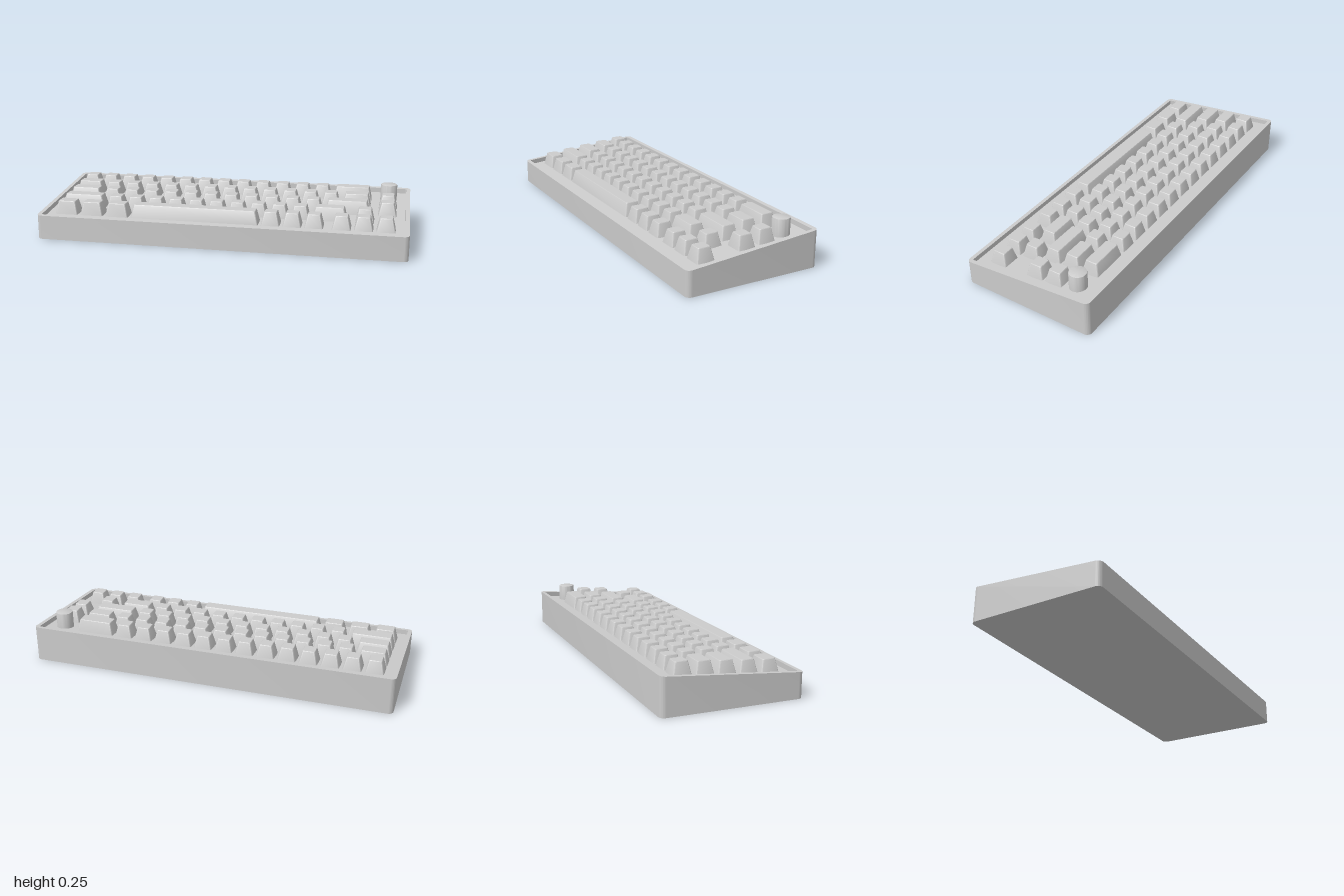
import * as THREE from 'three';
import { toCreasedNormals } from 'three/addons/utils/BufferGeometryUtils.js';

const UNIT = 0.1153;                 // width of a one-unit key with its gap
const ROW = 0.1149;                  // row spacing along z
const WELL = 0.026;                  // depth of the plate below the rim
const rimY = (z) => 0.165 - 0.0874 * z;

function roundedRect(w, d, r, Type = THREE.Shape) {
  const x = w / 2 - r, y = d / 2 - r, s = new Type();
  s.absarc(x, y, r, 0, Math.PI / 2);
  s.absarc(-x, y, r, Math.PI / 2, Math.PI);
  s.absarc(-x, -y, r, Math.PI, Math.PI * 1.5);
  s.absarc(x, -y, r, Math.PI * 1.5, Math.PI * 2);
  s.closePath();
  return s;
}

// Extrude upward by 1, then move every vertex by a rule.
function riseAndShape(shape, steps, curveSegments, rule) {
  const g = new THREE.ExtrudeGeometry(shape, { depth: 1, steps, curveSegments, bevelEnabled: false });
  g.rotateX(-Math.PI / 2);
  const p = g.attributes.position, v = new THREE.Vector3();
  for (let i = 0; i < p.count; i++) {
    rule(v.fromBufferAttribute(p, i));
    p.setXYZ(i, v.x, v.y, v.z);
  }
  g.computeVertexNormals();
  return toCreasedNormals(g, 0.5);
}

// Tapered keycap, with a small chamfer around its flat top; its top is at y = 0.
function keycapGeometry(units) {
  const shape = roundedRect(units * UNIT - 0.0165, 0.0985, 0.008);
  return riseAndShape(shape, 2, 3, (v) => {
    const level = Math.round(v.y * 2);
    const inset = [0, 0.0155, 0.0178][level];
    v.x -= Math.sign(v.x) * inset;
    v.z -= Math.sign(v.z) * inset;
    v.y = [-0.072, -0.003, 0][level];
  });
}

// Rows from back to front: key widths in units, negative values are gaps.
const ones = (n) => Array(n).fill(1);
const ROWS = [
  [...ones(13), 2],
  [1.5, ...ones(12), 1.5, -0.25, 1],
  [1.75, ...ones(11), 2.25, -0.25, 1],
  [2.25, ...ones(10), 1.75, -0.25, 1],
  [1.25, 1.25, 1.25, 6.25, 1, 1, 1, -0.25, 1, 1, 1],
];

export function createModel() {
  const model = new THREE.Group();
  model.name = 'keyboard';
  const material = new THREE.MeshStandardMaterial({ color: 0xcccccc });
  const add = (parent, geometry, name) => {
    const mesh = new THREE.Mesh(geometry, material);
    mesh.name = name;
    parent.add(mesh);
    return mesh;
  };

  // Wedge-shaped case wall and the sunken plate inside it
  const wall = roundedRect(2, 0.745, 0.028);
  wall.holes.push(roundedRect(1.955, 0.7, 0.008, THREE.Path));
  add(model, riseAndShape(wall, 1, 8, (v) => { if (v.y > 0.5) v.y = rimY(v.z); }), 'caseWall');
  const plate = roundedRect(1.955, 0.7, 0.008);
  add(model, riseAndShape(plate, 1, 8, (v) => { if (v.y > 0.5) v.y = rimY(v.z) - WELL; }), 'keyPlate');

  // Keycaps, stepping up towards the back
  const caps = {};
  ROWS.forEach((widths, r) => {
    const row = new THREE.Group();
    row.name = `keyRow${r + 1}`;
    row.position.set(0, 0.231 - 0.01 * r, (r - 2) * ROW - 0.002);
    model.add(row);
    let u = -16.25 / 2;
    for (const w of widths) {
      const size = Math.abs(w);
      if (w > 0) {
        caps[w] ??= keycapGeometry(w);
        add(row, caps[w], w > 6 ? 'spaceBar' : 'keycap').position.x = (u + size / 2) * UNIT;
      }
      u += size;
    }
  });

  // Rotary knob in the back corner
  const profile = [[0.046, 0], [0.046, 0.1], [0.0445, 0.1045], [0.041, 0.106], [0, 0.106]]
    .map(([x, y]) => new THREE.Vector2(x, y));
  const knob = add(model, toCreasedNormals(new THREE.LatheGeometry(profile, 40), 0.7), 'knob');
  knob.position.set(7.625 * UNIT, 0.145, -0.233);

  return model;
}
